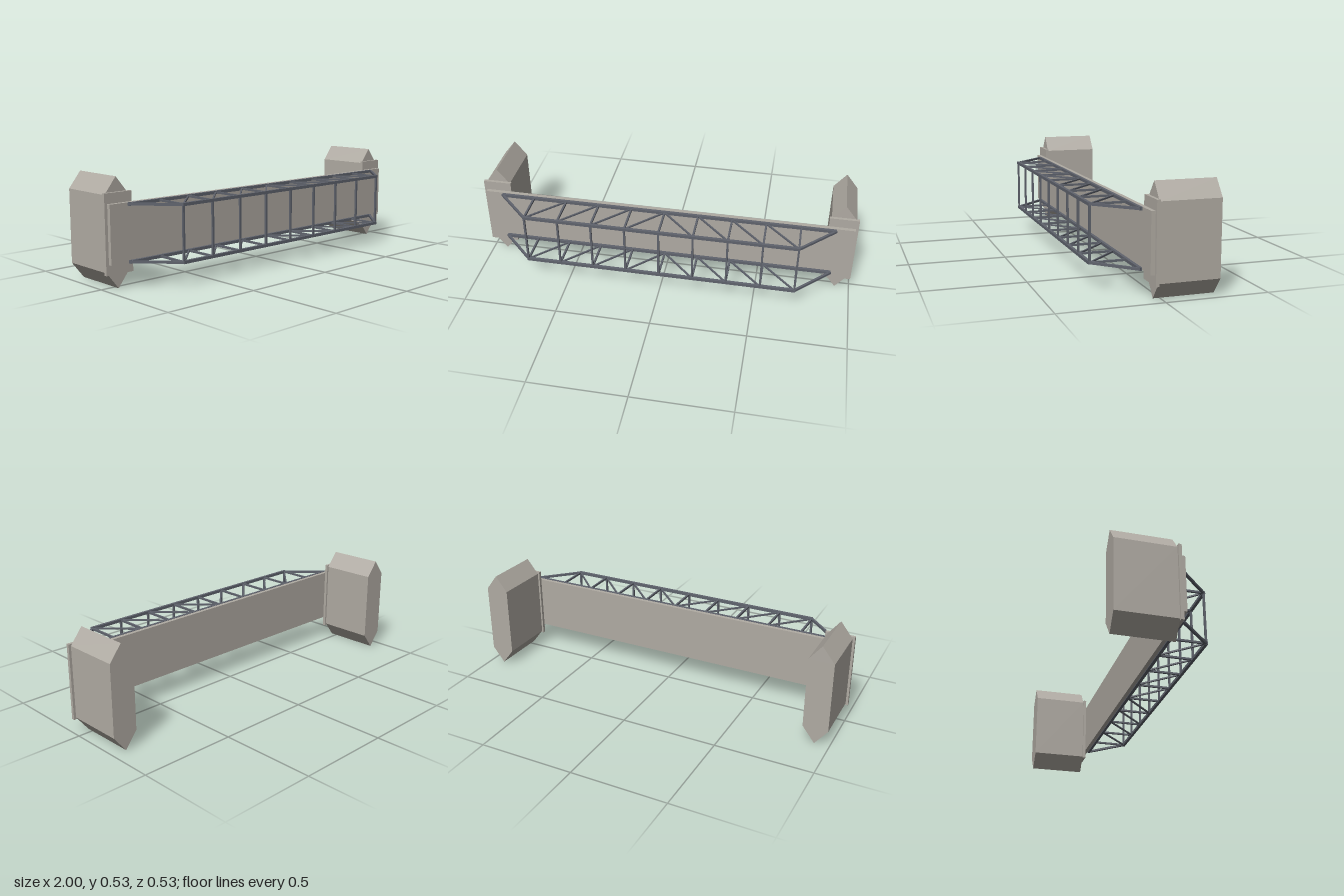
import * as THREE from 'three';

export function createModel() {
  const concrete = new THREE.MeshStandardMaterial({ color: 0xb0aba3 });
  concrete.name = 'concrete';
  const steel = new THREE.MeshStandardMaterial({ color: 0x5f636d });
  steel.name = 'steel';
  const model = new THREE.Group();
  model.name = 'trussBridge';

  const midY = 0.264;

  function box(name, material, parent, size, pos) {
    const mesh = new THREE.Mesh(new THREE.BoxGeometry(...size), material);
    mesh.name = name;
    mesh.position.set(...pos);
    parent.add(mesh);
    return mesh;
  }

  // Square bar between two points
  function bar(name, parent, a, b, thickness) {
    const start = new THREE.Vector3(...a), end = new THREE.Vector3(...b);
    const mesh = box(name, steel, parent, [thickness, thickness, start.distanceTo(end)],
      start.clone().add(end).multiplyScalar(0.5).toArray());
    mesh.lookAt(end);
  }

  // Deck slab
  box('deck', concrete, model, [1.97, 0.284, 0.02], [0, midY + 0.001, 0.058]);

  // Piers with pointed ends, and their caps
  const half = 0.064;
  const outline = new THREE.Shape([
    [0, 0], [half, 0.082], [half, 0.447], [0, 0.528], [-half, 0.447], [-half, 0.082],
  ].map(([x, y]) => new THREE.Vector2(x, y)));
  const pierGeometry = new THREE.ExtrudeGeometry(outline, { depth: 0.297, bevelEnabled: false });
  for (const side of [-1, 1]) {
    const pier = new THREE.Mesh(pierGeometry, concrete);
    pier.name = side > 0 ? 'leftPier' : 'rightPier';
    pier.position.set(side * 0.924, 0, -0.265);
    model.add(pier);
    box(side > 0 ? 'leftPierCap' : 'rightPierCap', concrete, model,
      [0.15, 0.384, 0.016], [side * 0.925, midY + 0.001, 0.04]);
  }

  // Two trusses, one along each edge of the deck
  const panel = 0.178, deckZ = 0.078, outerZ = 0.257;
  for (const side of [-1, 1]) {
    const y = midY + side * 0.136;
    const truss = new THREE.Group();
    truss.name = side > 0 ? 'upperTruss' : 'lowerTruss';
    model.add(truss);
    bar('deckChord', truss, [-0.89, y, deckZ], [0.89, y, deckZ], 0.015);
    bar('outerChord', truss, [-0.717, y, outerZ], [0.717, y, outerZ], 0.015);
    for (let i = -4; i <= 4; i++) {
      bar('post', truss, [i * panel, y, deckZ], [i * panel, y, outerZ], 0.01);
    }
    for (const dir of [-1, 1]) {
      bar('endPost', truss, [dir * 0.89, y, deckZ], [dir * 4 * panel, y, outerZ], 0.012);
      for (let i = 1; i <= 4; i++) {
        bar('diagonal', truss, [dir * i * panel, y, outerZ], [dir * (i - 1) * panel, y, deckZ], 0.008);
      }
    }
  }

  // Struts joining the outer chords
  for (let i = -4; i <= 4; i++) {
    bar('crossStrut', model, [i * panel, midY - 0.136, outerZ], [i * panel, midY + 0.136, outerZ], 0.01);
  }
  return model;
}
